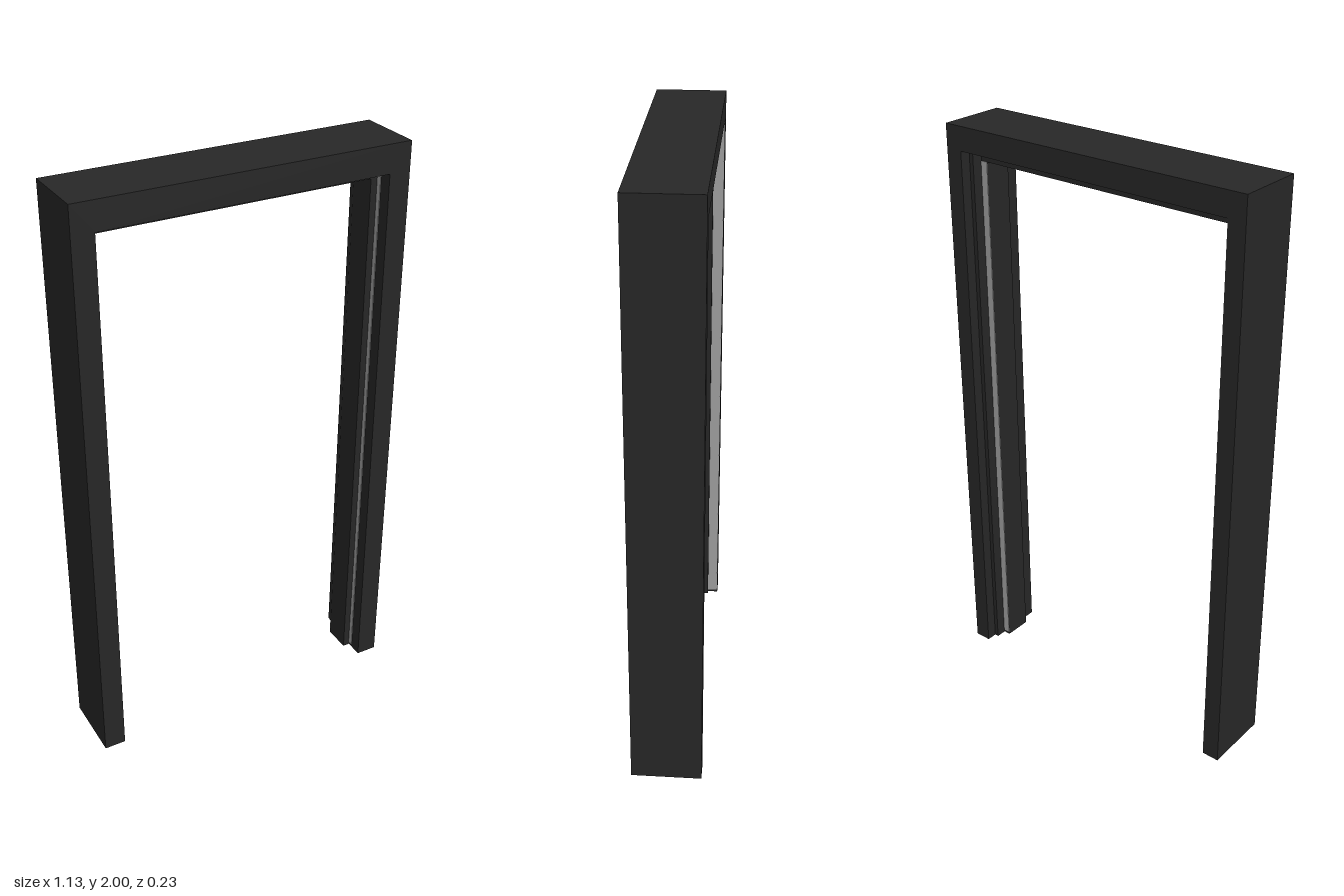
import * as THREE from 'three';

const H = 2, HALF_W = 0.564, HALF_D = 0.117;
const OPEN_X = 0.49, OPEN_Y = 1.905; // opening between the casings
const LIP_X = 0.505, LIP_Y = 1.92; // slightly wider opening at the back
const STOP_X = 0.465, STOP_Y = 1.875; // opening between the door stops
const LIP_Z = -0.08, STOP_BACK = -0.042, STOP_FRONT = 0.054;

// Upside-down U outline, extruded along z
function portal(outerX, outerY, innerX, innerY, z0, z1, material, name) {
  const shape = new THREE.Shape([
    [-outerX, 0], [-innerX, 0], [-innerX, innerY], [innerX, innerY],
    [innerX, 0], [outerX, 0], [outerX, outerY], [-outerX, outerY],
  ].map(([x, y]) => new THREE.Vector2(x, y)));
  const geometry = new THREE.ExtrudeGeometry(shape, { depth: z1 - z0, bevelEnabled: false });
  geometry.translate(0, 0, z0);
  const mesh = new THREE.Mesh(geometry, material);
  mesh.name = name;
  return mesh;
}

function box(x0, x1, y0, y1, z0, z1, material, name) {
  const mesh = new THREE.Mesh(new THREE.BoxGeometry(Math.abs(x1 - x0), y1 - y0, z1 - z0), material);
  mesh.position.set((x0 + x1) / 2, (y0 + y1) / 2, (z0 + z1) / 2);
  mesh.name = name;
  return mesh;
}

export function createModel() {
  const group = new THREE.Group();
  group.name = 'doorFrame';
  const black = new THREE.MeshStandardMaterial({ color: 0x272727 });
  black.name = 'blackFrame';
  const grey = new THREE.MeshStandardMaterial({ color: 0xa0a0a0 });
  grey.name = 'greySeal';

  // Casing, its shallower back lip and the raised stop inside
  group.add(portal(HALF_W, H, OPEN_X, OPEN_Y, LIP_Z, HALF_D, black, 'casing'));
  group.add(portal(HALF_W, H, LIP_X, LIP_Y, -HALF_D, LIP_Z, black, 'backLip'));
  group.add(portal(OPEN_X, OPEN_Y, STOP_X, STOP_Y, STOP_BACK, STOP_FRONT, black, 'doorStop'));

  // Jamb seals: behind the stop, and in the corner in front of it
  const t = 0.002;
  for (const s of [-1, 1]) {
    group.add(box(s * OPEN_X, s * STOP_X, 0.01, STOP_Y, STOP_BACK - t, STOP_BACK, grey, 'stopSeal'));
    group.add(box(s * OPEN_X, s * (OPEN_X - t), 0.01, OPEN_Y, STOP_FRONT, STOP_FRONT + 0.018, grey, 'frontSeal'));
  }

  // Seal on the right jamb's back lip
  group.add(box(-LIP_X, -LIP_X + t, 0.01, LIP_Y, -HALF_D + 0.001, LIP_Z, grey, 'lipSeal'));

  // Head seals
  group.add(box(-LIP_X, LIP_X, LIP_Y - t, LIP_Y, -HALF_D + 0.008, -HALF_D + 0.024, grey, 'headLipSeal'));
  group.add(box(-OPEN_X, OPEN_X, OPEN_Y - t, OPEN_Y, STOP_FRONT, STOP_FRONT + 0.018, grey, 'headFrontSeal'));
  return group;
}
